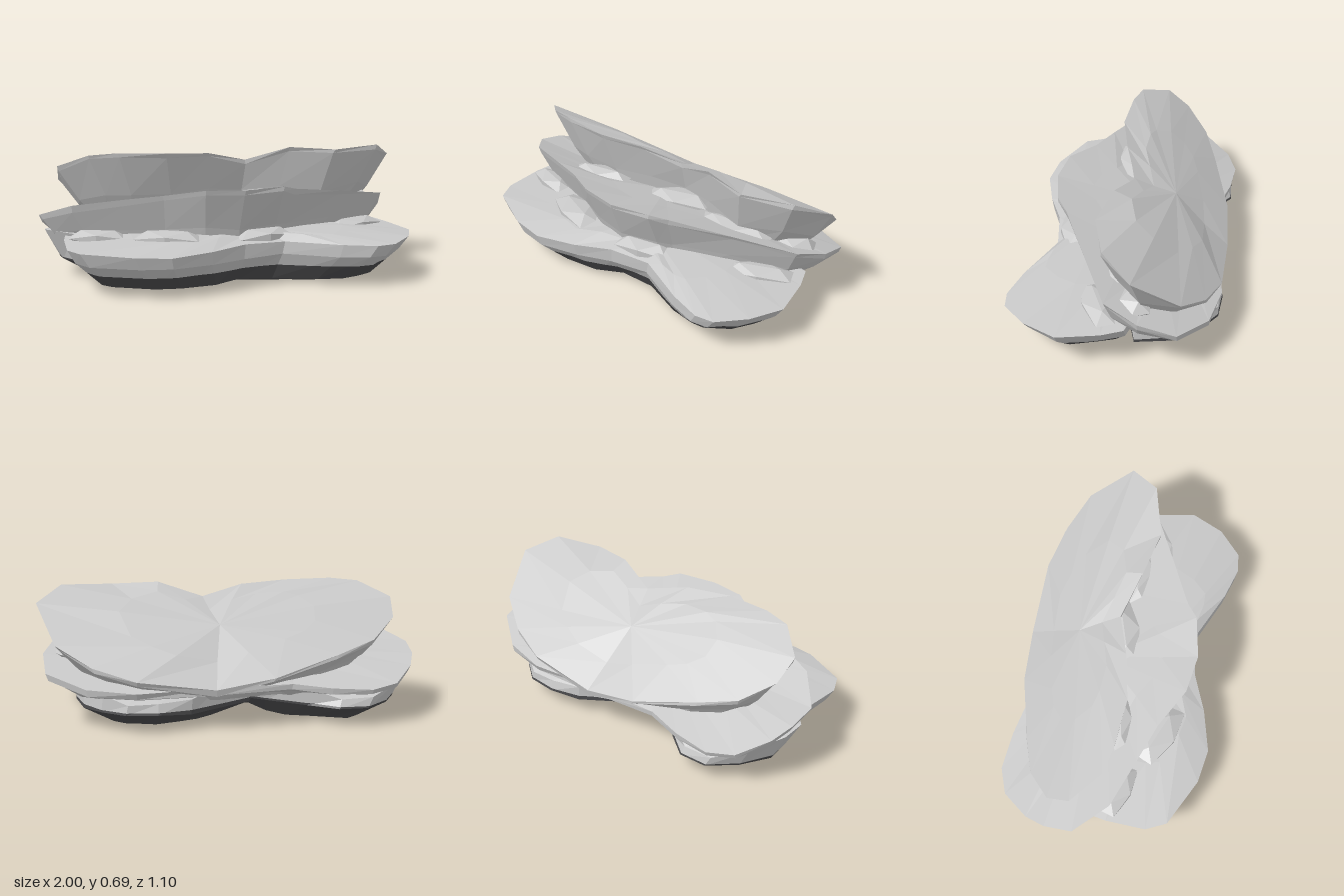
import * as THREE from 'three';

const COLOUR_LINE = 0.11;
const paleStone = new THREE.MeshStandardMaterial({ color: 0xc8c8c8, flatShading: true });
paleStone.name = 'pale stone';
const darkStone = new THREE.MeshStandardMaterial({ color: 0x4b4b4d, flatShading: true });
darkStone.name = 'dark stone';

// straight-line interpolation through [input, output] pairs in rising order
function ramp(pairs) {
  return (t) => {
    if (t <= pairs[0][0]) return pairs[0][1];
    for (let i = 1; i < pairs.length; i++) {
      const [a, va] = pairs[i - 1], [b, vb] = pairs[i];
      if (t <= b) return va + ((vb - va) * (t - a)) / (b - a);
    }
    return pairs[pairs.length - 1][1];
  };
}

function seeded(seed) {
  let s = seed;
  return () => ((s = (s * 16807) % 2147483647) / 2147483647) - 0.5;
}

// keep the part of a polygon above (side 1) or below (side -1) the colour line
function clip(poly, side) {
  const out = [];
  poly.forEach((p, i) => {
    const q = poly[(i + 1) % poly.length];
    const dp = (p.y - COLOUR_LINE) * side, dq = (q.y - COLOUR_LINE) * side;
    if (dp >= 0) out.push(p);
    if (dp * dq < 0) out.push(p.clone().lerp(q, dp / (dp - dq)));
  });
  return out;
}

// one rock from triangles, split into a pale top and a dark foot
function rockMesh(name, triangles) {
  const positions = [];
  const geometry = new THREE.BufferGeometry();
  [1, -1].forEach((side, material) => {
    const start = positions.length / 3;
    for (const tri of triangles) {
      const poly = clip(tri, side);
      for (let i = 1; i < poly.length - 1; i++) {
        const t = new THREE.Triangle(poly[0], poly[i], poly[i + 1]);
        if (t.getArea() < 1e-7) continue;
        for (const p of [t.a, t.b, t.c]) positions.push(p.x, p.y, p.z);
      }
    }
    geometry.addGroup(start, positions.length / 3 - start, material);
  });
  geometry.setAttribute('position', new THREE.Float32BufferAttribute(positions, 3));
  geometry.computeVertexNormals();
  const mesh = new THREE.Mesh(geometry, [paleStone, darkStone]);
  mesh.name = name;
  return mesh;
}

// loft rings (top to bottom): each scales the plan outline about a centre
// and takes its height from a rule of the ring point and the outline's z
function slab(name, outline, [cx, cz], rings, seed) {
  const rnd = seeded(seed);
  const loops = rings.map(({ s, sz = s, y, rough = 0.016 }) =>
    outline.map(([px, pz]) => {
      const k = s === 0 ? 0 : rough;
      const x = cx + (px - cx) * s + rnd() * k;
      const z = cz + (pz - cz) * sz + rnd() * k;
      return new THREE.Vector3(x, y(z, x, pz) + rnd() * k, z);
    }));
  const triangles = [];
  for (let r = 0; r < loops.length - 1; r++) {
    const a = loops[r], b = loops[r + 1];
    for (let i = 0; i < a.length; i++) {
      const j = (i + 1) % a.length;
      triangles.push([a[i], a[j], b[j]], [a[i], b[j], b[i]]);
    }
  }
  return rockMesh(name, triangles);
}

function boulder(name, [x, y, z], [sx, sy, sz], turn) {
  const g = new THREE.IcosahedronGeometry(1, 0);
  g.scale(sx, sy, sz).rotateY(turn).translate(x, y, z);
  const p = g.attributes.position, triangles = [];
  for (let i = 0; i < p.count; i += 3) {
    triangles.push([0, 1, 2].map((k) => new THREE.Vector3().fromBufferAttribute(p, i + k)));
  }
  return rockMesh(name, triangles);
}

export function createModel() {
  const model = new THREE.Group();
  model.name = 'layeredRock';

  // high rear slab, rising towards the front, with a dip in its front edge
  const rearSlope = ramp([[-0.54, 0.255], [-0.4, 0.39], [-0.25, 0.51], [-0.16, 0.59], [0, 0.675], [0.05, 0.695], [0.1, 0.675]]);
  const dip = ramp([[-0.2, 0], [0.08, 0.04], [0.35, 0]]);
  const rearTop = (z, x) => rearSlope(z) - dip(x);
  const rearDrop = ramp([[-0.54, 0.05], [-0.35, 0.11], [-0.15, 0.18], [0.1, 0.24]]);
  model.add(slab('rearSlab', [
    [-0.9, -0.12], [-0.88, -0.24], [-0.75, -0.36], [-0.55, -0.43], [-0.2, -0.52], [0.1, -0.54],
    [0.5, -0.53], [0.72, -0.46], [0.9, -0.35], [1, -0.12], [0.87, 0.03], [0.6, 0.1],
    [0.35, 0.04], [0.12, -0.04], [-0.1, 0.03], [-0.35, 0.08], [-0.6, 0.06], [-0.75, 0.02],
  ], [0.05, -0.25], [
    { s: 0, y: () => 0.5 },
    { s: 0.55, y: rearTop },
    { s: 1, y: rearTop, rough: 0.006 },
    { s: 0.985, y: (z, x, pz) => rearTop(pz, x) - 0.025 },
    { s: 0.88, sz: 0.8, y: (z, x, pz) => rearSlope(pz) - rearDrop(pz) },
    { s: 0.7, sz: 0.6, y: (z) => 0.27 + 0.3 * z },
    { s: 0, y: () => 0.14 },
  ], 11));

  // middle slab, tilted the same way and running back beneath the rear slab
  const midTop = ramp([[-0.55, 0.2], [-0.25, 0.32], [-0.1, 0.36], [0.05, 0.42], [0.36, 0.53], [0.4, 0.525]]);
  const midDrop = ramp([[-0.55, 0.05], [-0.2, 0.09], [0, 0.12], [0.4, 0.22]]);
  model.add(slab('middleSlab', [
    [-1, -0.1], [-0.99, -0.25], [-0.95, -0.36], [-0.84, -0.5], [-0.7, -0.55], [-0.5, -0.53],
    [-0.3, -0.48], [0.1, -0.5], [0.5, -0.53], [0.75, -0.48], [0.95, -0.34], [0.97, -0.15], [0.9, 0.02],
    [0.6, 0.16], [0.3, 0.3], [0.22, 0.36], [0, 0.4], [-0.2, 0.37], [-0.4, 0.25], [-0.6, 0.17], [-0.85, 0.07],
  ], [-0.03, -0.1], [
    { s: 0, y: () => 0.38 },
    { s: 0.6, y: (z) => midTop(z) - 0.005 },
    { s: 1, y: midTop, rough: 0.006 },
    { s: 0.99, y: (z, x, pz) => midTop(pz) - 0.03 },
    { s: 0.93, sz: 0.83, y: (z, x, pz) => midTop(pz) - midDrop(pz) },
    { s: 0.82, sz: 0.72, y: () => 0.14 },
    { s: 0, y: () => 0.13 },
  ], 23));

  // broad base with two front lobes
  const baseTop = ramp([[-0.2, 0.25], [0.25, 0.24], [0.4, 0.245], [0.55, 0.23]]);
  model.add(slab('baseSlab', [
    [-0.87, -0.05], [-0.5, -0.15], [0, -0.25], [0.5, -0.2], [0.9, -0.08], [0.94, 0.03],
    [0.98, 0.25], [0.9, 0.42], [0.77, 0.54], [0.67, 0.55], [0.5, 0.5], [0.22, 0.37],
    [0, 0.4], [-0.2, 0.48], [-0.42, 0.54], [-0.6, 0.51], [-0.85, 0.38], [-0.9, 0.27], [-0.89, 0.06],
  ], [0, 0.13], [
    { s: 0, y: () => 0.29 },
    { s: 0.62, y: () => 0.27 },
    { s: 1, y: baseTop, rough: 0.006 },
    { s: 0.95, sz: 0.97, y: () => 0.17 },
    { s: 0.8, sz: 0.66, y: () => 0.035 },
    { s: 0.5, sz: 0.4, y: () => 0.015 },
    { s: 0, y: () => 0.01 },
  ], 37));

  // two rear lobes, with a notch between them; width is the scale at the colour line
  const lobeTop = ramp([[-0.55, 0.15], [-0.42, 0.21], [-0.2, 0.28]]);
  const lobe = (name, width, centre, outline, seed) => model.add(slab(name, outline, centre, [
    { s: 0, y: () => 0.28 },
    { s: 0.7, y: lobeTop },
    { s: 0.97, y: (z) => lobeTop(z) - 0.01 },
    { s: width, sz: 1, y: () => 0.095 },
    { s: width * 0.6, sz: 0.5, y: () => 0.012 },
    { s: 0, y: () => 0.004 },
  ], seed));
  lobe('rightRearLobe', 0.8, [-0.5, -0.22], [
    [-0.98, -0.14], [-0.97, -0.25], [-0.87, -0.42], [-0.72, -0.53], [-0.54, -0.53], [-0.34, -0.43],
    [-0.1, -0.29], [0.1, -0.15], [-0.3, 0], [-0.85, 0.02],
  ], 51);
  lobe('leftRearLobe', 1, [0.38, -0.24], [
    [-0.15, -0.15], [-0.1, -0.28], [0.05, -0.38], [0.22, -0.49], [0.4, -0.53], [0.55, -0.52],
    [0.68, -0.44], [0.77, -0.3], [0.8, -0.12], [0.4, 0], [0, 0],
  ], 67);

  // rubble wedged between the slabs
  [
    [[0.12, 0.41, -0.02], [0.2, 0.05, 0.1], 0.3],
    [[-0.38, 0.41, 0.05], [0.2, 0.05, 0.07], 0.2],
    [[0.5, 0.39, 0], [0.25, 0.05, 0.1], 0.1],
    [[0.8, 0.35, -0.12], [0.12, 0.06, 0.09], 0.4],
    [[0.13, 0.26, 0.29], [0.18, 0.05, 0.09], 0.2],
    [[-0.38, 0.27, 0.26], [0.2, 0.045, 0.11], -0.4],
    [[0.72, 0.25, 0.08], [0.2, 0.045, 0.09], 0.4],
    [[-0.72, 0.26, 0.1], [0.17, 0.045, 0.08], -0.3],
  ].forEach((b, i) => model.add(boulder('rubble' + (i + 1), ...b)));

  return model;
}
